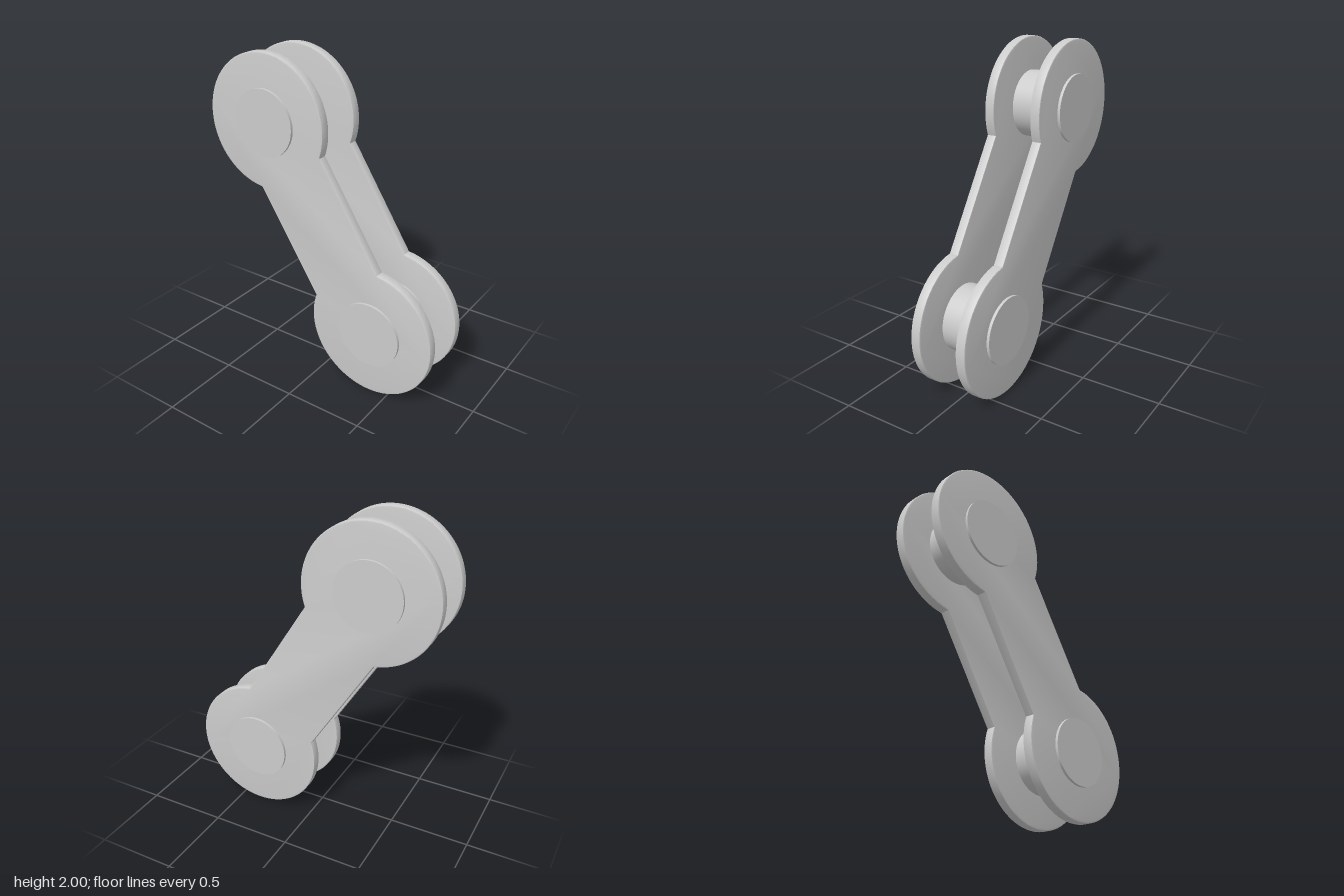
import * as THREE from 'three';
import { toCreasedNormals } from 'three/addons/utils/BufferGeometryUtils.js';

const HALF = 0.695;    // half the distance between the pin centres
const R = 0.413;       // radius of the plate's round ends
const WEB = 0.256;     // half width of the straight web
const PIN_R = 0.207;
const TILT = 0.566;    // lean of the link in the front plane

// Side plate: two round ends joined by a straight web, with a fine bevel
function plateGeometry() {
  const thickness = 0.062, bevel = 0.007;
  const a = Math.asin(WEB / R);
  const shape = new THREE.Shape();
  shape.absarc(0, HALF, R, -Math.PI / 2 + a, Math.PI * 1.5 - a, false);
  shape.absarc(0, -HALF, R, Math.PI / 2 + a, Math.PI * 2.5 - a, false);
  shape.closePath();
  const depth = thickness - 2 * bevel;
  const geometry = new THREE.ExtrudeGeometry(shape, {
    depth, curveSegments: 48, bevelEnabled: true,
    bevelThickness: bevel, bevelSize: bevel, bevelOffset: -bevel, bevelSegments: 2,
  });
  geometry.translate(0, 0, -depth / 2);
  return toCreasedNormals(geometry, 0.5);
}

export function createModel() {
  const link = new THREE.Group();
  link.name = 'chainLink';
  const material = new THREE.MeshStandardMaterial({ color: 0xcccccc });

  const plate = plateGeometry();
  const pin = new THREE.CylinderGeometry(PIN_R, PIN_R, 0.408, 64).rotateX(Math.PI / 2);

  function add(name, geometry, y, z) {
    const mesh = new THREE.Mesh(geometry, material);
    mesh.name = name;
    mesh.position.set(0, y, z);
    link.add(mesh);
  }

  // Front and back plates
  add('frontPlate', plate, 0, 0.156);
  add('backPlate', plate, 0, -0.156);

  // Pins passing through both plates and standing slightly proud
  add('upperPin', pin, HALF, 0);
  add('lowerPin', pin, -HALF, 0);

  link.rotation.z = TILT;
  link.position.y = 1;

  const model = new THREE.Group();
  model.add(link);
  return model;
}
